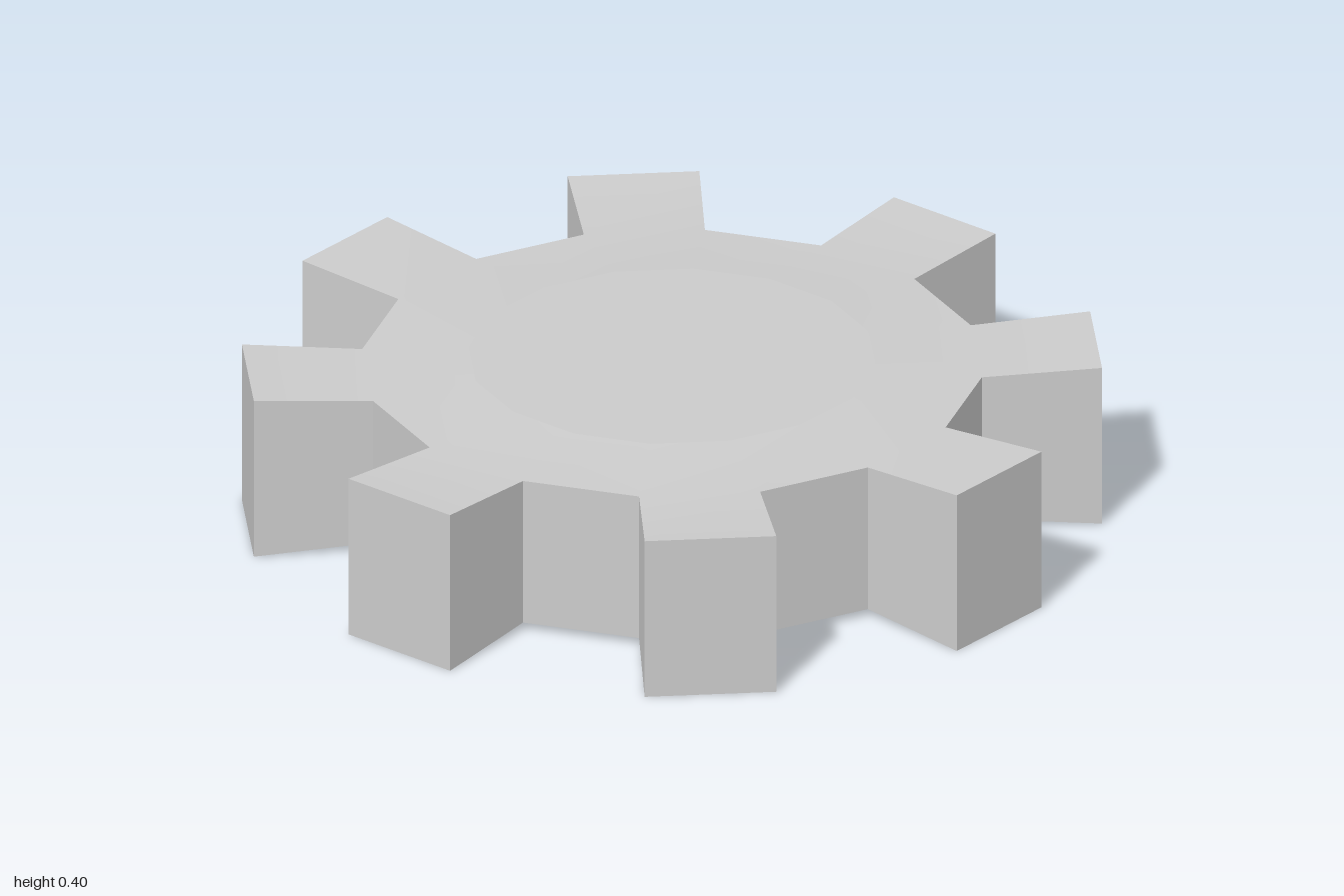
import * as THREE from 'three';

const TEETH = 8, STEP = Math.PI / TEETH;
const MID = 0.2, FULL = 0.2, WAIST = 0.182; // centre height, half thickness at rims and at tooth roots
const HUB_R = 0.475, ROOT_R = 0.723, TIP_R = 1.0;
const TIP_HALF = 0.154; // half angle of a tooth tip

// Point at an angle measured from the back (-z) towards +x
const at = (r, a, h) => [r * Math.sin(a), h, -r * Math.cos(a)];

function build(points, index) {
  const g = new THREE.BufferGeometry();
  g.setAttribute('position', new THREE.Float32BufferAttribute(points.flat(), 3));
  g.setIndex(index);
  g.computeVertexNormals();
  return g;
}

// One face of the gear: flat hub disc, dished ring and flaring tooth tops
function capGeometries(side) {
  const n = TEETH * 2;
  const tri = (list, a, b, c) => list.push(...(side > 0 ? [a, b, c] : [a, c, b]));
  const y = h => MID + side * h;
  const disc = [[0, y(FULL), 0]], discIndex = [];
  const ring = [], ringIndex = [];
  for (let i = 0; i < n; i++) {
    const j = (i + 1) % n, a = i * STEP;
    const tipAngle = (Math.floor(i / 2) * 2 + 0.5) * STEP + (i % 2 ? 1 : -1) * TIP_HALF;
    disc.push(at(HUB_R, a, y(FULL)));
    tri(discIndex, 0, j + 1, i + 1);
    ring.push(at(HUB_R, a, y(FULL)), at(ROOT_R, a, y(WAIST)), at(TIP_R, tipAngle, y(FULL)));
    const bands = i % 2 ? 1 : 2; // even sectors carry a tooth
    for (let k = 0; k < bands; k++) {
      const p = i * 3 + k, q = j * 3 + k;
      tri(ringIndex, p, q, q + 1);
      tri(ringIndex, p, q + 1, p + 1);
    }
  }
  return [build(disc, discIndex), build(ring, ringIndex)];
}

// Upright walls following the toothed outline
function wallGeometry() {
  const outline = [];
  for (let t = 0; t < TEETH; t++) {
    const a = t * 2 * STEP, mid = a + STEP / 2;
    outline.push([ROOT_R, a, WAIST], [TIP_R, mid - TIP_HALF, FULL],
      [TIP_R, mid + TIP_HALF, FULL], [ROOT_R, a + STEP, WAIST]);
  }
  const points = [], index = [];
  outline.forEach(([r, a, h], i) => {
    const [r2, a2, h2] = outline[(i + 1) % outline.length];
    const o = points.length;
    points.push(at(r, a, MID - h), at(r, a, MID + h), at(r2, a2, MID + h2), at(r2, a2, MID - h2));
    index.push(o, o + 1, o + 2, o, o + 2, o + 3);
  });
  return build(points, index);
}

export function createModel() {
  const gear = new THREE.Group();
  gear.name = 'gear';
  const material = new THREE.MeshStandardMaterial({ color: 0xcccccc });
  const add = (name, geometry) => {
    const mesh = new THREE.Mesh(geometry, material);
    mesh.name = name;
    gear.add(mesh);
  };
  for (const [label, side] of [['top', 1], ['bottom', -1]]) {
    const [disc, ring] = capGeometries(side);
    add(label + 'HubDisc', disc);
    add(label + 'ToothedRing', ring);
  }
  add('toothWalls', wallGeometry());
  return gear;
}
